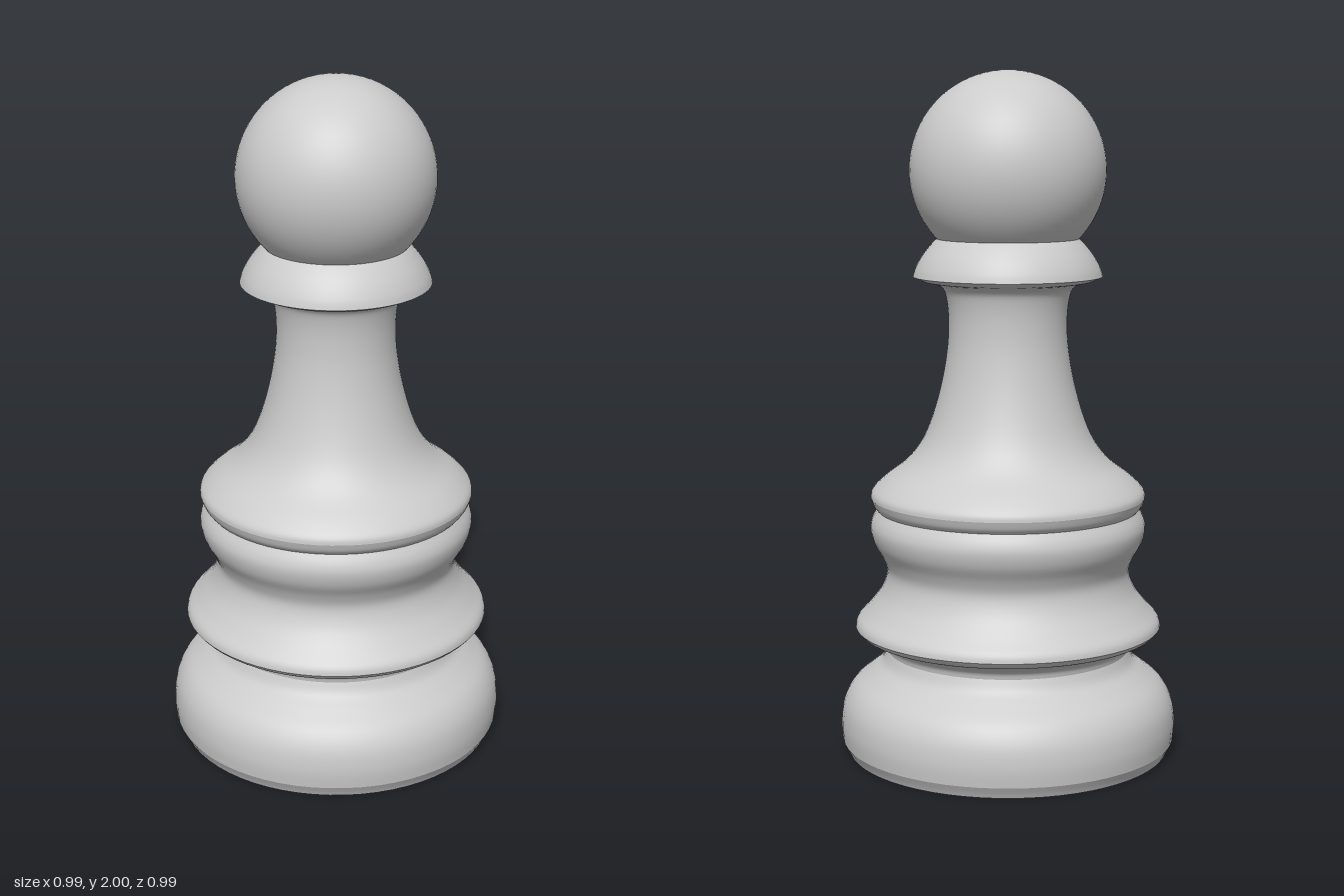
import * as THREE from 'three';

const material = new THREE.MeshStandardMaterial({ color: 0xcccccc });
const SEGMENTS = 64;

// Smooth turned section through [radius, height] points, listed bottom to top.
function turned(name, points, steps = points.length * 4) {
  const curve = new THREE.SplineCurve(points.map(([r, y]) => new THREE.Vector2(r, y)));
  const mesh = new THREE.Mesh(new THREE.LatheGeometry(curve.getPoints(steps), SEGMENTS), material);
  mesh.name = name;
  return mesh;
}

export function createModel() {
  const group = new THREE.Group();
  group.name = 'pawn';

  // Flat underside and the small chamfer around it
  const underside = new THREE.Mesh(new THREE.CircleGeometry(0.475, SEGMENTS), material);
  underside.name = 'underside';
  underside.rotation.x = Math.PI / 2;
  group.add(underside);
  group.add(turned('baseChamfer', [[0.475, 0], [0.482, 0.015], [0.493, 0.035]]));

  // Rounded foot
  group.add(turned('foot', [
    [0.493, 0.035], [0.497, 0.09], [0.488, 0.15], [0.46, 0.2],
    [0.412, 0.24], [0.375, 0.27], [0.358, 0.305],
  ]));

  // Lower ring: hollow underside, sharp rim, then a waist and a rounded bulge
  group.add(turned('lowerRingUnderside', [
    [0.358, 0.305], [0.365, 0.325], [0.395, 0.345], [0.435, 0.36], [0.452, 0.377],
  ]));
  group.add(turned('waist', [
    [0.452, 0.377], [0.445, 0.4], [0.413, 0.435], [0.376, 0.485], [0.358, 0.54],
    [0.37, 0.585], [0.395, 0.63], [0.405, 0.67], [0.4, 0.7], [0.385, 0.728],
  ]));

  // Upper ring and the flaring stem
  group.add(turned('upperRing', [
    [0.385, 0.728], [0.396, 0.742], [0.404, 0.764],
  ]));
  group.add(turned('stem', [
    [0.404, 0.764], [0.398, 0.785], [0.362, 0.82], [0.3, 0.868], [0.255, 0.925],
    [0.222, 1.0], [0.194, 1.1], [0.177, 1.2], [0.173, 1.28],
    [0.178, 1.34], [0.19, 1.375], [0.22, 1.392],
  ]));

  // Collar below the head
  group.add(turned('collarUnderside', [[0.22, 1.392], [0.25, 1.398], [0.276, 1.41]]));
  group.add(turned('collar', [
    [0.276, 1.41], [0.268, 1.435], [0.25, 1.468], [0.225, 1.5], [0.203, 1.522],
  ]));

  // Ball head
  const head = new THREE.Mesh(new THREE.SphereGeometry(0.285, SEGMENTS, 40), material);
  head.name = 'head';
  head.position.y = 1.715;
  group.add(head);

  return group;
}
